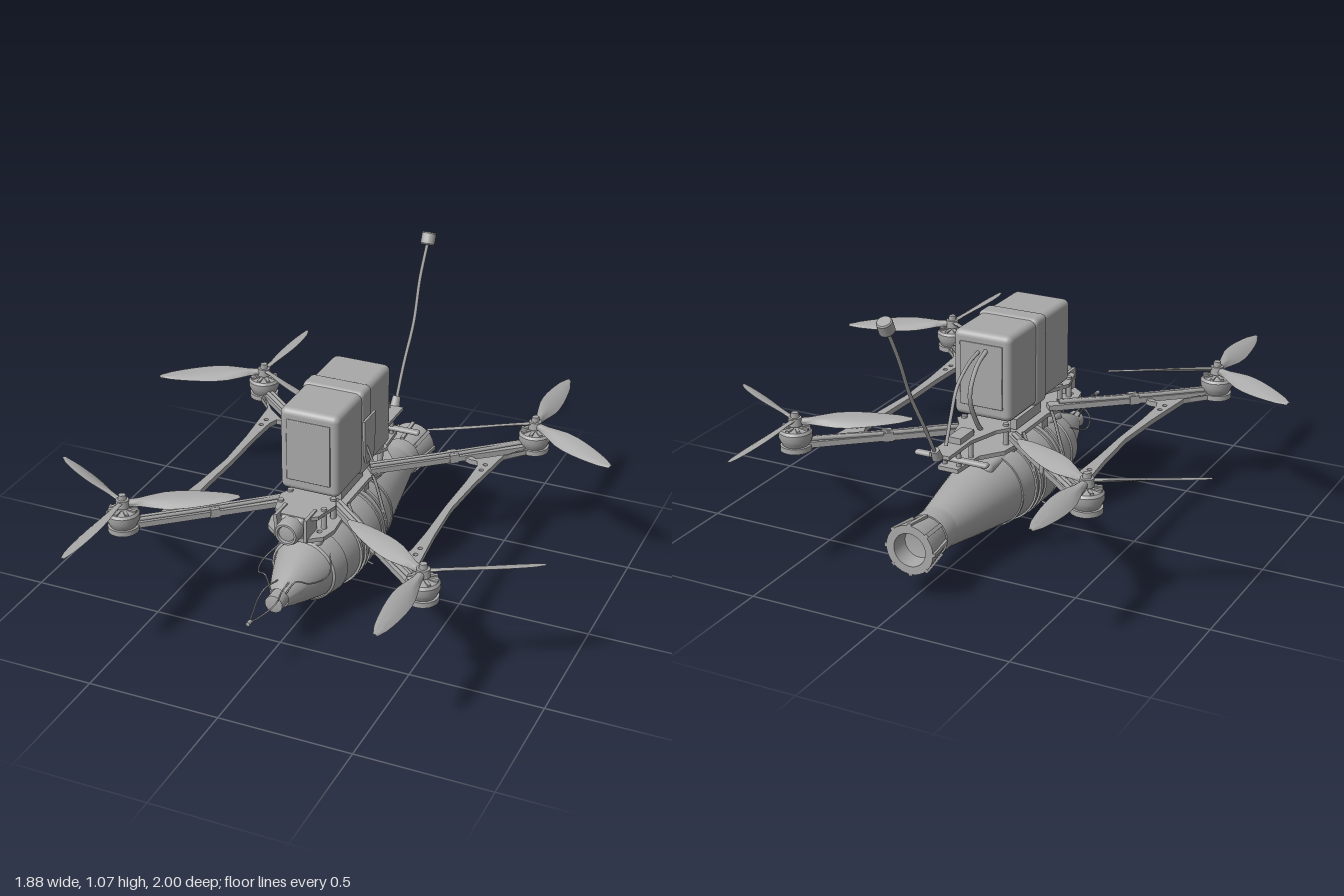
import * as THREE from 'three';
import { toCreasedNormals } from 'three/addons/utils/BufferGeometryUtils.js';
import { RoundedBoxGeometry } from 'three/addons/geometries/RoundedBoxGeometry.js';

const grey = new THREE.MeshStandardMaterial({ color: 0xa8a8a8, side: THREE.DoubleSide });
grey.name = 'grey';

const V = (p) => new THREE.Vector3(...p);

function add(parent, name, geo, pos = [0, 0, 0], rot = [0, 0, 0]) {
  const m = new THREE.Mesh(geo, grey);
  m.name = name;
  m.position.set(...pos);
  m.rotation.set(...rot);
  parent.add(m);
  return m;
}
const box = (w, h, d) => new THREE.BoxGeometry(w, h, d);
const cyl = (r1, r2, h, n = 24) => new THREE.CylinderGeometry(r1, r2, h, n);
const lathe = (pts, n = 40) =>
  toCreasedNormals(new THREE.LatheGeometry(pts.map((p) => new THREE.Vector2(...p)), n), 0.5);
const tube = (pts, r, n = 24) =>
  new THREE.TubeGeometry(new THREE.CatmullRomCurve3(pts.map(V)), n, r, 6);

// Flat plate drawn in x and z, its top face at y = 0
function plate(pts, depth, holes = []) {
  const s = new THREE.Shape(pts.map((p) => new THREE.Vector2(...p)));
  for (const [x, z, r] of holes) s.holes.push(new THREE.Path().absarc(x, z, r, 0, Math.PI * 2, true));
  return new THREE.ExtrudeGeometry(s, { depth, bevelEnabled: false, curveSegments: 8 }).rotateX(Math.PI / 2);
}
const mirrorX = (pts) => [...pts, ...pts.map(([x, z]) => [-x, z]).reverse()];

// Twisted propeller blade along +x; s picks the raised edge
function blade(s) {
  const g = new THREE.BoxGeometry(1, 1, 1, 18, 1, 6);
  const p = g.attributes.position;
  const widths = [0.028, 0.036, 0.056, 0.074, 0.08, 0.078, 0.071, 0.06, 0.045, 0.016];
  for (let i = 0; i < p.count; i++) {
    const t = p.getX(i) + 0.5, c = p.getZ(i) * 2;
    const k = Math.min(t * 9, 8.999), j = Math.floor(k);
    const w = THREE.MathUtils.lerp(widths[j], widths[j + 1], k - j);
    const a = s * THREE.MathUtils.lerp(0.6, 0.28, t);
    const th = p.getY(i) * 0.012 * (1.15 - t) * (1.1 - c * c) + 0.004 * (1 - c * c);
    const z = c * w / 2;
    p.setXYZ(i, 0.015 + t * 0.403, z * Math.sin(a) + th * Math.cos(a), z * Math.cos(a) - th * Math.sin(a));
  }
  g.computeVertexNormals();
  return toCreasedNormals(g, 0.8);
}

function rotor(sx, sz) {
  const g = new THREE.Group();
  g.name = 'rotor';
  g.position.set(sx * 0.575, 0, sz * 0.582);
  add(g, 'motorMount', cyl(0.057, 0.057, 0.02), [0, 0.392, 0]);
  add(g, 'motorBell', lathe([[0, 0.4], [0.046, 0.4], [0.054, 0.415], [0.061, 0.43], [0.061, 0.452], [0.054, 0.462], [0.02, 0.468], [0, 0.468]], 28));
  for (let i = 0; i < 8; i++) {
    const a = i * Math.PI / 4;
    add(g, 'motorRib', box(0.036, 0.008, 0.012), [Math.cos(a) * 0.036, 0.466, -Math.sin(a) * 0.036], [0, a, 0]);
  }
  for (let i = 0; i < 4; i++) {
    const a = (i + 0.5) * Math.PI / 2;
    add(g, 'mountScrew', cyl(0.008, 0.008, 0.01, 10), [Math.cos(a) * 0.035, 0.379, Math.sin(a) * 0.035]);
  }
  add(g, 'propellerHub', cyl(0.024, 0.026, 0.03), [0, 0.49, 0]);
  add(g, 'propellerNut', cyl(0.014, 0.016, 0.022, 6), [0, 0.513, 0]);
  const geo = blade(sx * sz);
  for (let i = 0; i < 3; i++)
    add(g, 'propellerBlade', geo, [0, 0.49, 0], [0, -sz * Math.PI / 2 + i * Math.PI * 2 / 3, 0]);
  return g;
}

// Diagonal arm from the hub to a motor, with its cable and clip
function arm(sx, sz) {
  const g = new THREE.Group();
  g.name = 'arm';
  const len = Math.hypot(0.505, 0.432), a = Math.atan2(0.432, 0.505);
  g.position.set(sx * 0.3225, 0.4, sz * 0.366);
  g.rotation.y = -sx * sz * a;
  add(g, 'armBar', box(len, 0.022, 0.042));
  add(g, 'armCable', tube([[-len / 2, 0.018, 0.007], [0, 0.016, 0.004], [len / 2 - 0.04, 0.02, 0]], 0.008));
  add(g, 'armCable', tube([[-len / 2, 0.018, -0.009], [0, 0.016, -0.01], [len / 2 - 0.04, 0.02, -0.008]], 0.008));
  add(g, 'armClip', box(0.035, 0.034, 0.05), [0, 0.004, 0]);
  return g;
}

function buildFrame(root) {
  const g = new THREE.Group();
  g.name = 'frame';
  root.add(g);
  // Side plates joining the front and rear motors
  const half = [[0.458, 0], [0.47, 0.2], [0.497, 0.45], [0.56, 0.55], [0.575, 0.54], [0.5, 0.462], [0.41, 0.385],
    [0.375, 0.405], [0.355, 0.39], [0.39, 0.37], [0.42, 0.37], [0.433, 0.33], [0.436, 0.2], [0.432, 0]];
  for (const sx of [1, -1]) {
    const flip = half.map(([x, z]) => [x, -z]).reverse();
    const outline = [...half, ...flip.slice(1, -1)].map(([x, z]) => [sx * x, z]);
    const holes = [0.31, 0.355, -0.31, -0.355].map((z) => [sx * 0.458, z, 0.009]);
    add(g, 'sidePlate', plate(outline, 0.02, holes), [0, 0.403, 0]);
    for (const sz of [1, -1]) g.add(rotor(sx, sz), arm(sx, sz));
  }
  // Central plates and spacers
  add(g, 'lowerPlate', plate(mirrorX([[0.06, 0.4], [0.11, 0.36], [0.125, 0.3], [0.115, 0.2], [0.09, 0.1], [0.09, -0.1],
    [0.12, -0.2], [0.11, -0.28], [0.05, -0.36], [0.04, -0.5]]), 0.016, [[0.08, 0.33, 0.01], [-0.08, 0.33, 0.01]]), [0, 0.392, 0]);
  add(g, 'upperPlate', plate(mirrorX([[0.045, 0.38], [0.085, 0.35], [0.11, 0.25], [0.065, 0.15], [0.065, -0.15],
    [0.11, -0.23], [0.075, -0.28], [0.04, -0.4], [0.04, -0.56]]), 0.014, [[0, -0.33, 0.015], [0, -0.43, 0.015]]), [0, 0.464, 0]);
  for (const x of [0.085, -0.085]) for (const z of [0.3, 0.22, -0.22])
    add(g, 'standoff', cyl(0.011, 0.011, 0.085, 10), [x, 0.43, z]);
  for (const x of [0.028, -0.028]) for (const z of [-0.38, -0.47])
    add(g, 'standoff', cyl(0.009, 0.009, 0.075, 10), [x, 0.425, z]);
  add(g, 'electronicsStack', box(0.13, 0.04, 0.2), [0, 0.418, 0]);
  add(g, 'rearCrossbar', new RoundedBoxGeometry(0.29, 0.018, 0.028, 2, 0.008), [0, 0.415, -0.47]);
  add(g, 'rearModule', box(0.05, 0.025, 0.1), [0, 0.474, -0.4]);
  // Front camera
  add(g, 'cameraBody', new RoundedBoxGeometry(0.09, 0.085, 0.07, 2, 0.012), [0, 0.42, 0.36]);
  add(g, 'cameraLens', lathe([[0.047, 0], [0.047, 0.04], [0.041, 0.055], [0.033, 0.055], [0.03, 0.045], [0, 0.05]], 24), [0, 0.42, 0.39], [Math.PI / 2, 0, 0]);
  for (const x of [0.058, -0.058]) add(g, 'cameraBracket', box(0.012, 0.09, 0.09), [x, 0.425, 0.36]);
}

function buildBattery(root) {
  const g = new THREE.Group();
  g.name = 'battery';
  root.add(g);
  add(g, 'batteryPack', new RoundedBoxGeometry(0.23, 0.325, 0.49, 4, 0.024), [0, 0.646, 0]);
  for (const z of [0.247, -0.247]) add(g, 'endPanel', new RoundedBoxGeometry(0.17, 0.24, 0.008, 2, 0.003), [0, 0.65, z]);
  add(g, 'strap', new RoundedBoxGeometry(0.242, 0.338, 0.09, 3, 0.02), [0, 0.646, -0.005]);
  add(g, 'strapTail', plate([[-0.05, -0.08], [0.055, -0.08], [0.048, 0.06], [0.03, 0.1], [-0.03, 0.1], [-0.042, 0.06]], 0.009),
    [0.127, 0.63, 0], [0, Math.PI / 2, 0]).rotation.set(Math.PI / 2, 0, Math.PI / 2);
  add(g, 'strapEnd', tube([[0.12, 0.64, 0.03], [0.135, 0.6, 0.03], [0.157, 0.545, 0.03]], 0.005, 10));
  for (const z of [0.14, -0.14]) add(g, 'batteryPad', box(0.13, 0.03, 0.05), [0, 0.475, z]);
  add(g, 'batteryCable', tube([[0.01, 0.74, -0.24], [0.01, 0.72, -0.32], [0.01, 0.66, -0.41], [0.005, 0.58, -0.46], [0, 0.48, -0.51]], 0.007));
  add(g, 'batteryCable', tube([[-0.02, 0.75, -0.24], [-0.02, 0.71, -0.32], [-0.02, 0.62, -0.37], [-0.02, 0.5, -0.32], [-0.02, 0.42, -0.25]], 0.009));
}

function buildAntenna(root) {
  const g = new THREE.Group();
  g.name = 'antenna';
  root.add(g);
  add(g, 'antennaMount', cyl(0.016, 0.02, 0.04, 12), [0, 0.475, -0.58], [-0.45, 0, 0]);
  add(g, 'antennaStem', tube([[0, 0.47, -0.58], [0, 0.6, -0.655], [0.006, 0.75, -0.74], [-0.003, 0.9, -0.82], [0, 1.025, -0.885]], 0.007));
  add(g, 'antennaCap', lathe([[0, -0.025], [0.024, -0.025], [0.028, -0.02], [0.028, 0.02], [0.024, 0.025], [0, 0.025]], 20), [0, 1.042, -0.895], [-0.45, 0, 0]);
}

function buildPod(root) {
  const g = new THREE.Group();
  g.name = 'underslungPod';
  g.position.y = 0.192;
  root.add(g);
  const turn = [Math.PI / 2, 0, 0];
  add(g, 'podBody', lathe([[0.07, -0.64], [0.075, -0.6], [0.092, -0.5], [0.11, -0.4], [0.13, -0.28], [0.148, -0.17], [0.158, -0.07],
    [0.158, 0.07], [0.15, 0.14], [0.137, 0.22], [0.115, 0.3], [0.088, 0.38], [0.062, 0.45], [0.038, 0.505]]), [0, 0, 0], turn);
  add(g, 'noseCap', lathe([[0, 0.495], [0.034, 0.495], [0.034, 0.55], [0.022, 0.553], [0, 0.553]], 24), [0, 0, 0], turn);
  add(g, 'tailCup', lathe([[0, -0.7], [0.055, -0.71], [0.062, -0.775], [0.092, -0.775], [0.088, -0.74], [0.072, -0.64]], 32), [0, 0, 0], turn);
  add(g, 'tailCollar', lathe([[0.07, -0.65], [0.079, -0.65], [0.079, -0.575], [0.07, -0.57]], 32), [0, 0, 0], turn);
  for (let i = 0; i < 8; i++) {
    const a = i * Math.PI / 4, fin = new THREE.Group();
    fin.name = 'tailFin';
    fin.rotation.z = a;
    add(fin, 'finRib', box(0.014, 0.012, 0.12), [0, 0.086, -0.715], [0.12, 0, 0]);
    g.add(fin);
  }
  // Raised bands and tie loops around the middle
  for (const [z, w, r] of [[0, 0.1, 0.164], [0.08, 0.02, 0.163], [-0.08, 0.02, 0.163], [0.118, 0.014, 0.16], [-0.112, 0.014, 0.16], [-0.2, 0.012, 0.147]])
    add(g, 'band', lathe([[r - 0.015, -w / 2], [r, -w / 2], [r, w / 2], [r - 0.015, w / 2]]), [0, 0, z], turn);
  add(g, 'foreWrap', lathe([[0.118, 0.3], [0.127, 0.295], [0.143, 0.22], [0.138, 0.215]].reverse().map(([r, z]) => [r, z])), [0, 0, 0], turn);
  // Saddles holding it under the frame
  add(g, 'saddle', new RoundedBoxGeometry(0.13, 0.09, 0.19, 3, 0.02), [0, 0.095, 0.2]);
  add(g, 'saddle', new RoundedBoxGeometry(0.13, 0.09, 0.2, 3, 0.02), [0, 0.095, -0.2]);
  for (const z of [0.118, -0.112]) {
    add(g, 'hangerBlock', box(0.15, 0.06, 0.05), [0, 0.165, z]);
    for (const x of [1, -1])
      add(g, 'tieStrap', tube([[x * 0.155, 0.03, z], [x * 0.135, 0.1, z], [x * 0.115, 0.17, z], [x * 0.1, 0.21, z]], 0.006, 12));
  }
  add(g, 'tieTail', tube([[0, -0.16, 0.118], [-0.06, -0.167, 0.115], [-0.12, -0.188, 0.11]], 0.004, 10));
  add(g, 'tieTail', tube([[0, -0.16, -0.112], [0.05, -0.167, -0.115], [0.1, -0.188, -0.125]], 0.004, 10));
  // Looped wires in front of the nose
  for (const x of [1, -1]) {
    add(g, 'noseWire', tube([[x * 0.09, 0.09, 0.26], [x * 0.13, 0.05, 0.36], [x * 0.1, 0.06, 0.46], [x * 0.06, 0.075, 0.49], [x * 0.03, 0.03, 0.51]], 0.003));
    add(g, 'noseWire', tube([[x * 0.022, 0.05, 0.47], [x * 0.032, 0.06, 0.55], [x * 0.036, 0.045, 0.6], [x * 0.018, 0.036, 0.68], [x * 0.003, 0.04, 0.74]], 0.003));
  }
  add(g, 'wireTip', cyl(0.008, 0.008, 0.022, 10), [0, 0.04, 0.745], turn);
}

export function createModel() {
  const root = new THREE.Group();
  root.name = 'quadcopter';
  buildFrame(root);
  buildBattery(root);
  buildAntenna(root);
  buildPod(root);
  return root;
}
